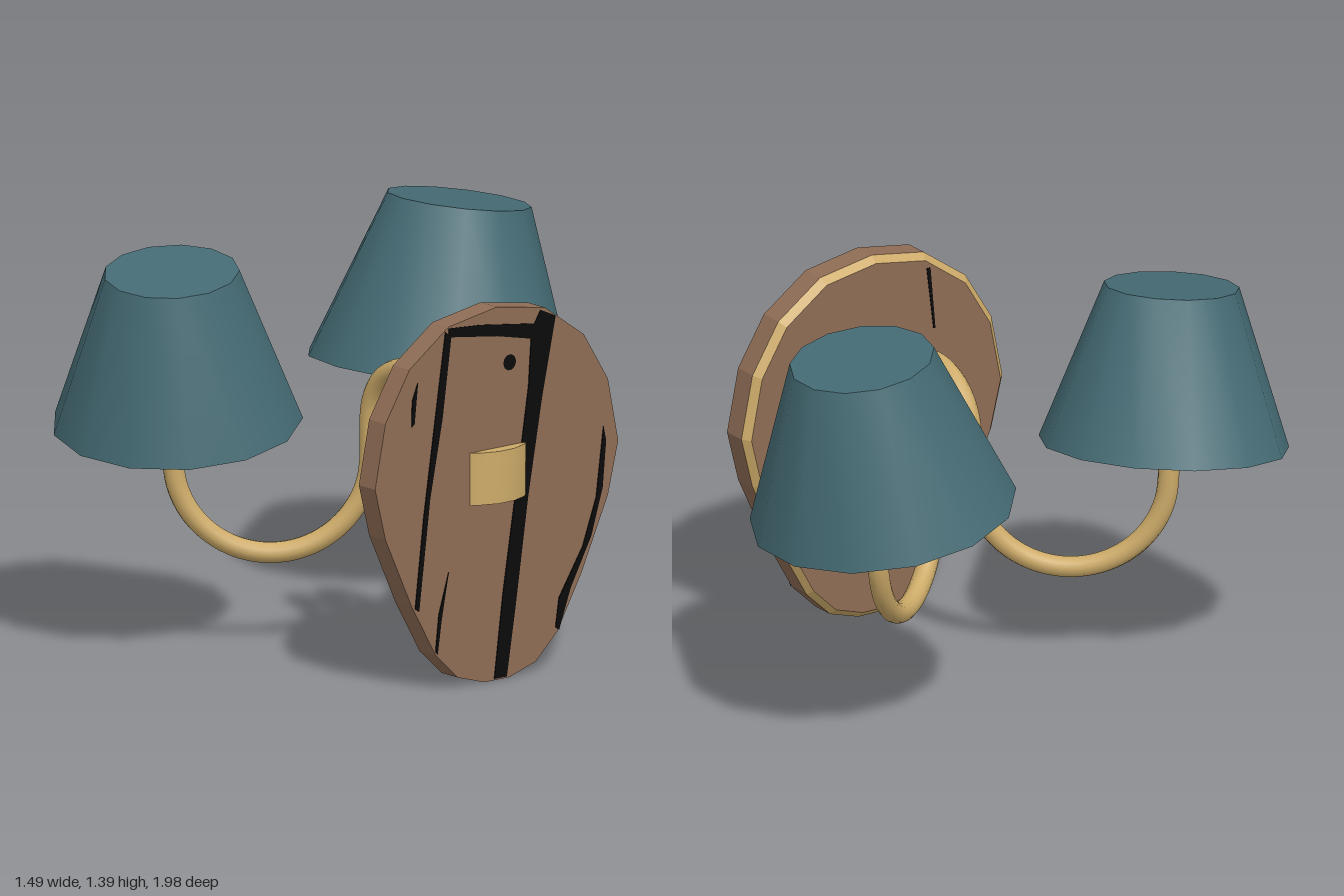
import * as THREE from 'three';
import { toCreasedNormals } from 'three/addons/utils/BufferGeometryUtils.js';

const mat = (name, color) => Object.assign(new THREE.MeshStandardMaterial({ color }), { name });
const V = (x, y, z) => new THREE.Vector3(x, y, z);

export function createModel() {
  const group = new THREE.Group();
  const wood = mat('brown wood', 0x8f6d55);
  const brass = mat('warm brass', 0xcdab69);
  const teal = mat('teal fabric', 0x456b74);
  const black = mat('black grain', 0x0a0a0a);

  const add = (parent, name, geometry, material) => {
    const mesh = new THREE.Mesh(geometry, material);
    mesh.name = name;
    parent.add(mesh);
    return mesh;
  };

  // Wall plaque: drawn in (-z, y) and turned so its depth runs along +x
  const plaque = new THREE.Group();
  plaque.name = 'wallPlaque';
  plaque.rotation.y = Math.PI / 2;
  group.add(plaque);

  const half = [[0, 1.285], [0.21, 1.25], [0.38, 1.13], [0.485, 0.96], [0.53, 0.74],
    [0.485, 0.56], [0.37, 0.31], [0.265, 0.125], [0.17, 0.035], [0.055, 0]];
  const mid = -0.03;
  const outline = [
    ...half.map(([w, y]) => [mid - w, y]),
    ...half.slice(1).reverse().map(([w, y]) => [mid + w, y]),
  ];
  const inner = outline.map(([u, y]) => [mid + (u - mid) * 0.955, 0.64 + (y - 0.64) * 0.965]);
  const slab = (points, depth, x) => {
    const shape = new THREE.Shape(points.map(([u, y]) => new THREE.Vector2(u, y)));
    return new THREE.ExtrudeGeometry(shape, { depth, bevelEnabled: false }).translate(0, 0, x);
  };
  add(plaque, 'plaqueBoard', slab(outline, 0.085, 0.615), wood);
  add(plaque, 'plaqueInnerFace', slab(inner, 0.025, 0.59), wood);

  // Chamfered brass rim between the two outlines
  const rim = [];
  outline.forEach((a, i) => {
    const j = (i + 1) % outline.length;
    const A = [...a, 0.615], A2 = [...outline[j], 0.615];
    const B = [...inner[i], 0.59], B2 = [...inner[j], 0.59];
    rim.push(...B, ...B2, ...A2, ...B, ...A2, ...A);
  });
  const rimGeometry = new THREE.BufferGeometry();
  rimGeometry.setAttribute('position', new THREE.Float32BufferAttribute(rim, 3));
  rimGeometry.computeVertexNormals();
  add(plaque, 'plaqueRim', rimGeometry, brass);

  // Black grain on the board
  const grain = {
    wideGrain: [[0.12, 1.18], [0.16, 1.245], [0.225, 1.215], [0.165, 0.94], [0.105, 0.61],
      [0.05, 0.24], [0.012, 0.005], [-0.042, 0.005], [-0.005, 0.29], [0.06, 0.69], [0.107, 0.99]],
    topGrain: [[-0.24, 1.245], [-0.1, 1.235], [0.15, 1.2], [0.13, 1.15], [-0.03, 1.185], [-0.24, 1.215]],
    leftGrain: [[-0.255, 1.235], [-0.23, 1.215], [-0.268, 0.94], [-0.322, 0.67], [-0.37, 0.29],
      [-0.387, 0.3], [-0.35, 0.61], [-0.3, 0.94]],
    rightGrain: [[0.434, 0.8], [0.445, 0.75], [0.43, 0.59], [0.38, 0.43], [0.29, 0.265],
      [0.24, 0.13], [0.225, 0.14], [0.24, 0.24], [0.343, 0.4], [0.402, 0.56]],
    lowerGrain: [[-0.241, 0.405], [-0.273, 0.24], [-0.289, 0.13], [-0.298, 0.14], [-0.284, 0.265]],
    upperGrain: [[-0.375, 1.08], [-0.39, 0.94], [-0.402, 0.93], [-0.4, 1.02]],
  };
  for (const [name, points] of Object.entries(grain)) {
    add(plaque, name, slab(points, 0.003, 0.7), black);
  }
  const knot = new THREE.CircleGeometry(0.028, 10).translate(0.025, 1.086, 0.702);
  add(plaque, 'knot', knot, black);
  add(plaque, 'innerGrain', slab([[-0.25, 1.2], [-0.235, 1.2], [-0.262, 0.98], [-0.27, 0.98]], 0.003, 0.588), black);

  // Brass hub through the plaque
  const hub = new THREE.CylinderGeometry(0.195, 0.195, 0.18, 18).translate(0.552, 0.71, 0.025);
  add(group, 'hub', toCreasedNormals(hub, 0.6), brass);

  // Arm: an arch out of the hub, then a U swinging outwards to the lamp
  const arm = (side, endZ) => {
    const startZ = side * 0.068;
    const points = [V(0.5, 0.72, startZ)];
    for (let i = 0; i <= 10; i++) {
      const a = (i / 10) * Math.PI;
      points.push(V(0.293 + 0.207 * Math.cos(a), 0.79 + 0.205 * Math.sin(a), startZ));
    }
    for (let i = 0; i <= 12; i++) {
      const a = (i / 12) * Math.PI;
      const t = (1 - Math.cos(a)) / 2;
      points.push(V(0.086 - 0.391 * t, 0.66 - 0.328 * Math.sin(a), startZ + (endZ - startZ) * t));
    }
    points.push(V(-0.305, 0.75, endZ));
    return new THREE.TubeGeometry(new THREE.CatmullRomCurve3(points), 90, 0.036, 12);
  };

  // Closed-top shade with wall thickness, tilted along the line from base to top
  const shade = (base, top, baseRadius, topRadius) => {
    const axis = top.clone().sub(base);
    const h = axis.length();
    const profile = [[0, h - 0.03], [topRadius - 0.03, h - 0.03], [baseRadius - 0.04, 0],
      [baseRadius, 0], [topRadius, h], [0, h]].map(([r, y]) => new THREE.Vector2(r, y));
    const geometry = toCreasedNormals(new THREE.LatheGeometry(profile, 13), 0.6);
    geometry.applyQuaternion(new THREE.Quaternion().setFromUnitVectors(V(0, 1, 0), axis.normalize()));
    return geometry.translate(base.x, base.y, base.z);
  };

  const lamps = [
    { name: 'frontLamp', side: 1, endZ: 0.6, ball: 0.08, base: V(-0.317, 0.785, 0.573), top: V(-0.262, 1.32, 0.643), radii: [0.422, 0.228] },
    { name: 'backLamp', side: -1, endZ: -0.583, ball: 0.09, base: V(-0.3, 0.79, -0.557), top: V(-0.307, 1.355, -0.648), radii: [0.452, 0.245] },
  ];
  for (const l of lamps) {
    const lamp = new THREE.Group();
    lamp.name = l.name;
    group.add(lamp);
    add(lamp, 'arm', arm(l.side, l.endZ), brass);
    add(lamp, 'bulb', new THREE.SphereGeometry(l.ball, 20, 14).translate(-0.305, 0.775, l.endZ), teal);
    add(lamp, 'shade', shade(l.base, l.top, ...l.radii), teal);
  }
  return group;
}
